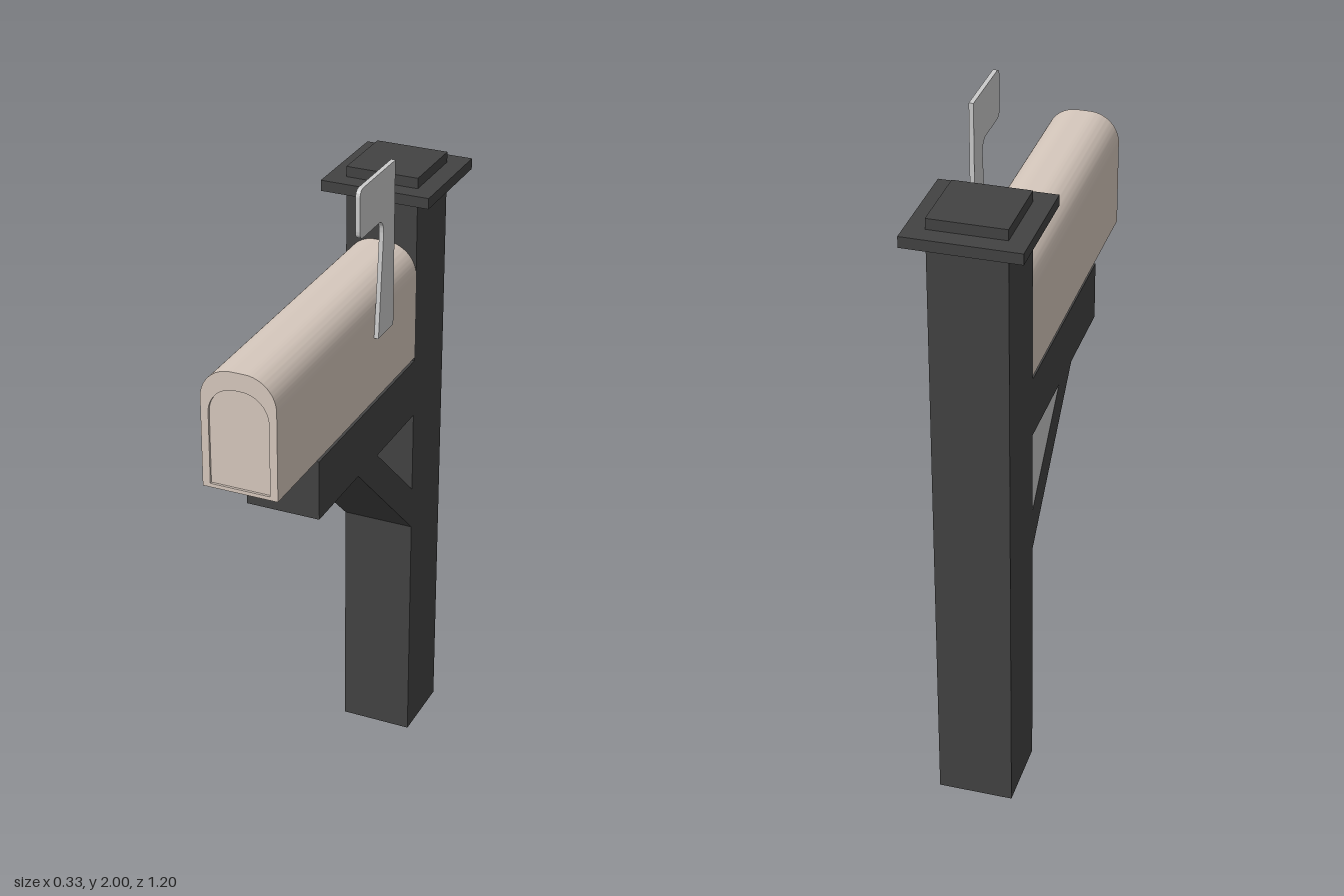
import * as THREE from 'three';
import { toCreasedNormals } from 'three/addons/utils/BufferGeometryUtils.js';

const postPaint = new THREE.MeshStandardMaterial({ color: 0x424242 });
const boxPaint = new THREE.MeshStandardMaterial({ color: 0xd6c8bd });
const flagPaint = new THREE.MeshStandardMaterial({ color: 0xcccccc });

// Box given by its min and max corners
function block(name, min, max) {
  const size = max.map((v, i) => v - min[i]);
  const mesh = new THREE.Mesh(new THREE.BoxGeometry(...size), postPaint);
  mesh.position.set(...max.map((v, i) => (v + min[i]) / 2));
  mesh.name = name;
  return mesh;
}

// Outline with a square bottom and rounded top corners
function archShape(w, bottom, top, r) {
  const s = new THREE.Shape();
  s.moveTo(-w, bottom);
  s.lineTo(w, bottom);
  s.lineTo(w, top - r);
  s.absarc(w - r, top - r, r, 0, Math.PI / 2, false);
  s.lineTo(-w + r, top);
  s.absarc(-w + r, top - r, r, Math.PI / 2, Math.PI, false);
  s.closePath();
  return s;
}

function extrude(name, shape, depth, material) {
  const geo = new THREE.ExtrudeGeometry(shape, { depth, bevelEnabled: false, curveSegments: 16 });
  const mesh = new THREE.Mesh(toCreasedNormals(geo, 0.6), material);
  mesh.name = name;
  return mesh;
}

// Side profile drawn in (z, y), extruded along +x from x0
function sideExtrude(name, shape, x0, width, material) {
  const mesh = extrude(name, shape, width, material);
  mesh.rotation.y = -Math.PI / 2;
  mesh.position.x = x0 + width;
  return mesh;
}

export function createModel() {
  const model = new THREE.Group();
  const W = 0.109;

  // Post, cap and support arm
  model.add(
    block('post', [-W, 0, -0.545], [W, 1.81, -0.325]),
    block('capPlate', [-0.164, 1.81, -0.6], [0.164, 1.842, -0.271]),
    block('capTop', [-W, 1.842, -0.545], [W, 1.873, -0.325]),
    block('supportArm', [-W, 1.127, -0.325], [W, 1.306, 0.34])
  );

  // Diagonal brace
  const brace = new THREE.Shape([
    [0.077, 1.127], [-0.325, 0.745], [-0.325, 0.877], [-0.057, 1.127],
  ].map(([z, y]) => new THREE.Vector2(z, y)));
  model.add(sideExtrude('brace', brace, -W, 2 * W, postPaint));

  // Mailbox body with a raised rim around the recessed door
  const mailbox = new THREE.Group();
  mailbox.name = 'mailbox';
  const body = extrude('mailboxBody', archShape(W, 1.316, 1.667, 0.09), 0.913, boxPaint);
  body.position.z = -0.325;
  const rimShape = archShape(W, 1.316, 1.667, 0.09);
  rimShape.holes.push(archShape(0.087, 1.327, 1.615, 0.078));
  const rim = extrude('doorRim', rimShape, 0.007, boxPaint);
  rim.position.z = 0.588;
  mailbox.add(body, rim);
  model.add(mailbox);

  // Signal flag on the left side
  const flag = new THREE.Shape();
  flag.moveTo(-0.13, 1.512);
  flag.lineTo(-0.13, 2);
  flag.lineTo(0.083, 2);
  flag.quadraticCurveTo(0.106, 2, 0.106, 1.975);
  flag.lineTo(0.106, 1.883);
  flag.quadraticCurveTo(0.106, 1.858, 0.083, 1.858);
  flag.lineTo(-0.02, 1.858);
  flag.quadraticCurveTo(-0.054, 1.858, -0.054, 1.815);
  flag.lineTo(-0.026, 1.512);
  flag.closePath();
  model.add(sideExtrude('flag', flag, W, 0.013, flagPaint));

  return model;
}
